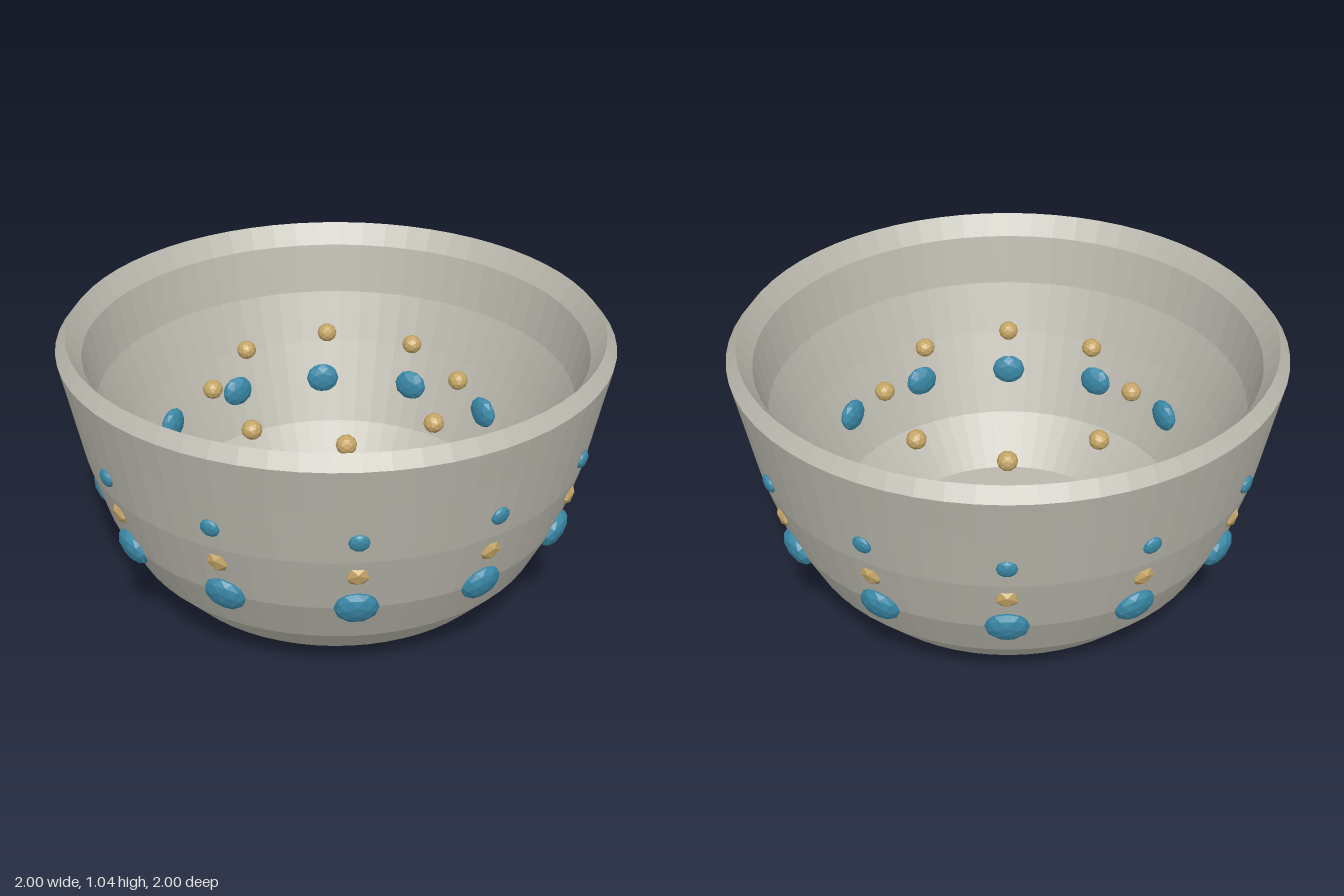
import * as THREE from 'three';

export function createModel() {
  const model = new THREE.Group();
  model.name = 'jewelledBowl';

  const material = (name, color) => {
    const m = new THREE.MeshStandardMaterial({ color, flatShading: true });
    m.name = name;
    return m;
  };
  const stone = material('stone', 0xbab8ad);
  const blue = material('blueGem', 0x3a88a6);
  const gold = material('gold', 0xc4a566);

  // Bowl: outer wall upwards, bevelled rim, inner wall down to the flat floor
  const profile = [
    [0, 0], [0.33, 0.003], [0.53, 0.03], [0.65, 0.08], [0.77, 0.21], [0.86, 0.39],
    [0.925, 0.61], [0.97, 0.84], [1, 0.99], [0.962, 1.038],
    [0.91, 0.96], [0.87, 0.77], [0.79, 0.58], [0.65, 0.28], [0.475, 0.12], [0, 0.12],
  ].map(([r, y]) => new THREE.Vector2(r, y));
  const bowl = new THREE.Mesh(new THREE.LatheGeometry(profile, 64), stone);
  bowl.name = 'bowl';
  model.add(bowl);

  // Ring of equal stones facing outwards, leaning with the wall
  function gemRing(name, { count, radius, y, size, detail, flat, tilt, mat }) {
    const ring = new THREE.Group();
    ring.name = name;
    const geometry = new THREE.IcosahedronGeometry(size, detail);
    geometry.scale(1, 0.96, flat);
    geometry.rotateX(tilt);
    for (let i = 0; i < count; i++) {
      const angle = (i / count) * Math.PI * 2;
      const gem = new THREE.Mesh(geometry, mat);
      gem.name = name + 'Stone';
      gem.position.set(Math.sin(angle) * radius, y, Math.cos(angle) * radius);
      gem.rotation.y = angle;
      ring.add(gem);
    }
    model.add(ring);
  }

  // Three bands on the outside
  gemRing('largeOuterGems', { count: 12, radius: 0.862, y: 0.395, size: 0.077, detail: 1, flat: 0.5, tilt: 0.38, mat: blue });
  gemRing('goldStuds', { count: 12, radius: 0.903, y: 0.545, size: 0.044, detail: 0, flat: 0.5, tilt: 0.28, mat: gold });
  gemRing('smallOuterGems', { count: 12, radius: 0.945, y: 0.7, size: 0.036, detail: 1, flat: 0.5, tilt: 0.2, mat: blue });

  // Inner wall gems and the circle of beads hovering inside
  gemRing('innerGems', { count: 12, radius: 0.71, y: 0.45, size: 0.066, detail: 1, flat: 0.5, tilt: 0, mat: blue });
  gemRing('goldBeads', { count: 8, radius: 0.45, y: 0.78, size: 0.037, detail: 1, flat: 1, tilt: 0, mat: gold });

  return model;
}
